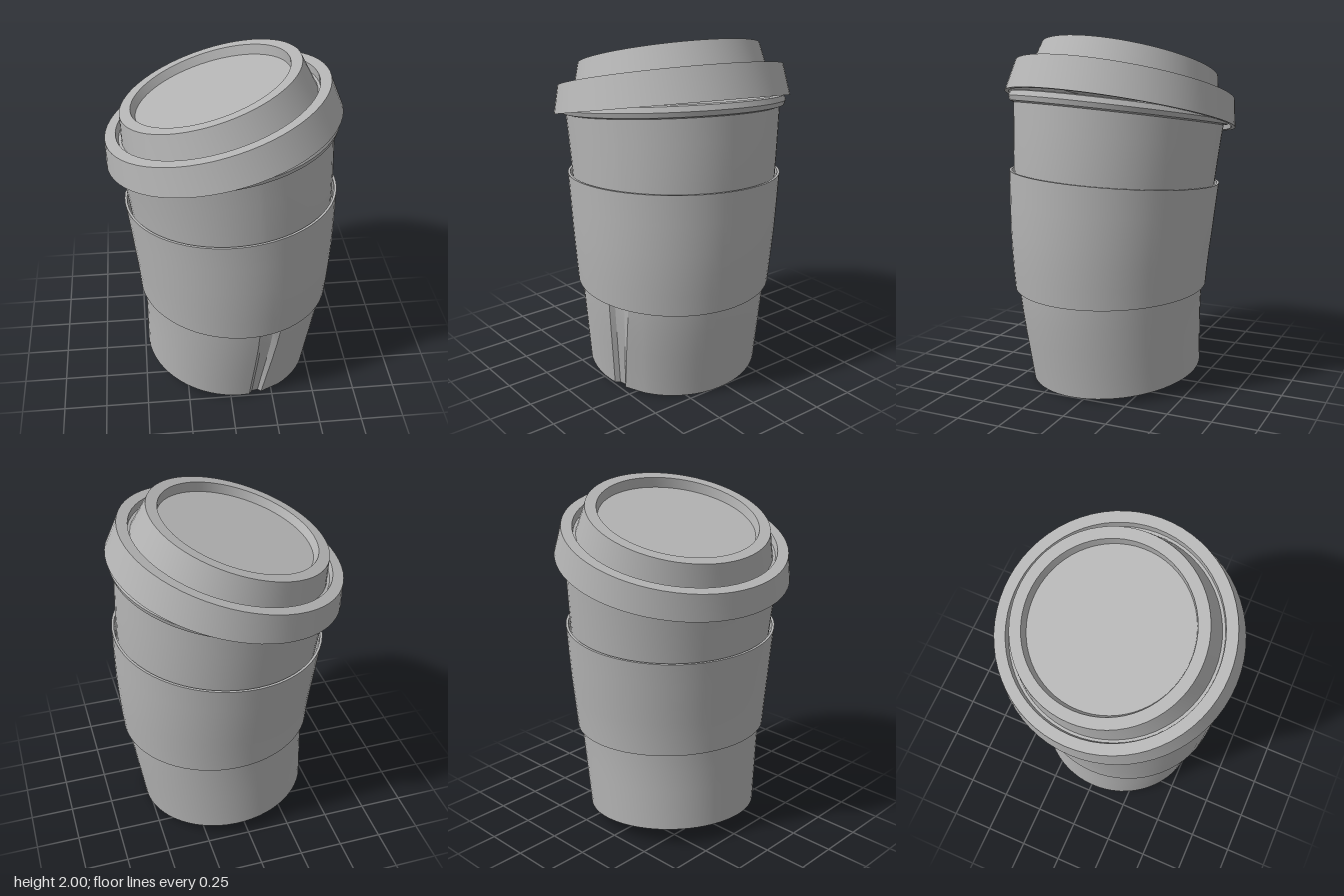
import * as THREE from 'three';
import { toCreasedNormals } from 'three/addons/utils/BufferGeometryUtils.js';

const SEGMENTS = 64;
const { lerp, clamp } = THREE.MathUtils;

// A bent axis: each key is [height, centre x, centre z, slope along x, slope along z]
function makeSpine(keys) {
  const heights = keys.map((k) => k[0]);
  const values = keys.flatMap((k) => k.slice(1));
  return new THREE.CubicInterpolant(heights, values, 4);
}

// Split long profile steps so that the walls follow the bend
function subdivide(profile, step = 0.13) {
  const points = [new THREE.Vector2(...profile[0])];
  for (let i = 1; i < profile.length; i++) {
    const a = new THREE.Vector2(...profile[i - 1]);
    const b = new THREE.Vector2(...profile[i]);
    const n = Math.max(1, Math.round(Math.abs(b.y - a.y) / step));
    for (let k = 1; k <= n; k++) points.push(a.clone().lerp(b, k / n));
  }
  return points;
}

// Turn a [radius, height] profile around a bent axis; adjust may alter each polar vertex
function bentLathe(profile, spine, adjust = (p) => p) {
  const points = subdivide(profile);
  const geometry = new THREE.LatheGeometry(points, SEGMENTS);
  const pos = geometry.attributes.position;
  const u = new THREE.Vector3(), v = new THREE.Vector3(), n = new THREE.Vector3();
  const p = new THREE.Vector3();
  for (let i = 0; i <= SEGMENTS; i++) {
    points.forEach((point, j) => {
      const h = point.y;
      const polar = adjust({ r: point.x, angle: (i / SEGMENTS) * Math.PI * 2 }, i, h);
      const [cx, cz, sx, sz] = spine.evaluate(h);
      n.set(-sx, 1, -sz).normalize();
      u.set(1, sx, 0).normalize();
      v.crossVectors(u, n).normalize();
      p.set(cx, h, cz)
        .addScaledVector(u, polar.r * Math.sin(polar.angle))
        .addScaledVector(v, polar.r * Math.cos(polar.angle));
      pos.setXYZ(i * points.length + j, p.x, p.y, p.z);
    });
  }
  return toCreasedNormals(geometry, 0.4);
}

// Pressed seam running up the front of the cup, widening towards the top
function seam(polar, i, h) {
  const t = clamp((h - 0.055) / 0.515, 0, 1);
  const edges = { 2: 0.19, 3: 0.237, 4: lerp(0.315, 0.37, t), 5: lerp(0.347, 0.44, t) };
  if (i in edges) {
    polar.angle = edges[i];
    if ((i === 3 || i === 4) && h < 0.8 && polar.r > 0.47) polar.r -= 0.02;
  }
  return polar;
}

export function createModel() {
  const group = new THREE.Group();
  const grey = new THREE.MeshStandardMaterial({ color: 0xb4b4b4 });
  grey.name = 'plain grey';

  const cupSpine = makeSpine([
    [0.055, 0.02, 0.012, -0.09, -0.065],
    [0.57, 0.057, 0.035, -0.036, -0.013],
    [1.2, 0.04, 0.018, 0.055, 0.045],
    [1.56, 0.01, 0.003, 0.14, 0.06],
    [1.63, 0.002, 0, 0.16, 0.065],
  ]);
  const lidSpine = makeSpine([
    [1.575, 0, 0, 0.235, 0.075],
    [1.735, -0.035, -0.015, 0.268, 0.08],
    [1.85, -0.07, -0.03, 0.3, 0.085],
  ]);

  const add = (name, geometry) => {
    const mesh = new THREE.Mesh(geometry, grey);
    mesh.name = name;
    group.add(mesh);
  };

  // Cup with recessed base, tapered wall, rolled rim and hollow inside
  add('cup', bentLathe([
    [0, 0.095], [0.425, 0.095], [0.43, 0.055], [0.5, 0.055],
    [0.537, 0.57], [0.58, 1.2], [0.604, 1.555],
    [0.628, 1.562], [0.638, 1.585], [0.628, 1.61], [0.605, 1.615],
    [0.59, 1.58], [0.565, 1.2], [0.5, 0.57], [0.46, 0.13], [0, 0.13],
  ], cupSpine, seam));

  // Loose band around the middle
  add('sleeve', bentLathe([
    [0.535, 0.572], [0.56, 0.572], [0.587, 0.9], [0.606, 1.205],
    [0.592, 1.205], [0.565, 0.9], [0.535, 0.572],
  ], cupSpine));

  // Lid with overhanging skirt, groove, raised dome and sunken top
  add('lid', bentLathe([
    [0, 1.69], [0.61, 1.69], [0.645, 1.575], [0.668, 1.575], [0.637, 1.735],
    [0.575, 1.735], [0.568, 1.695], [0.553, 1.695],
    [0.515, 1.85], [0.452, 1.85], [0.44, 1.8], [0, 1.8],
  ], lidSpine));

  return group;
}
